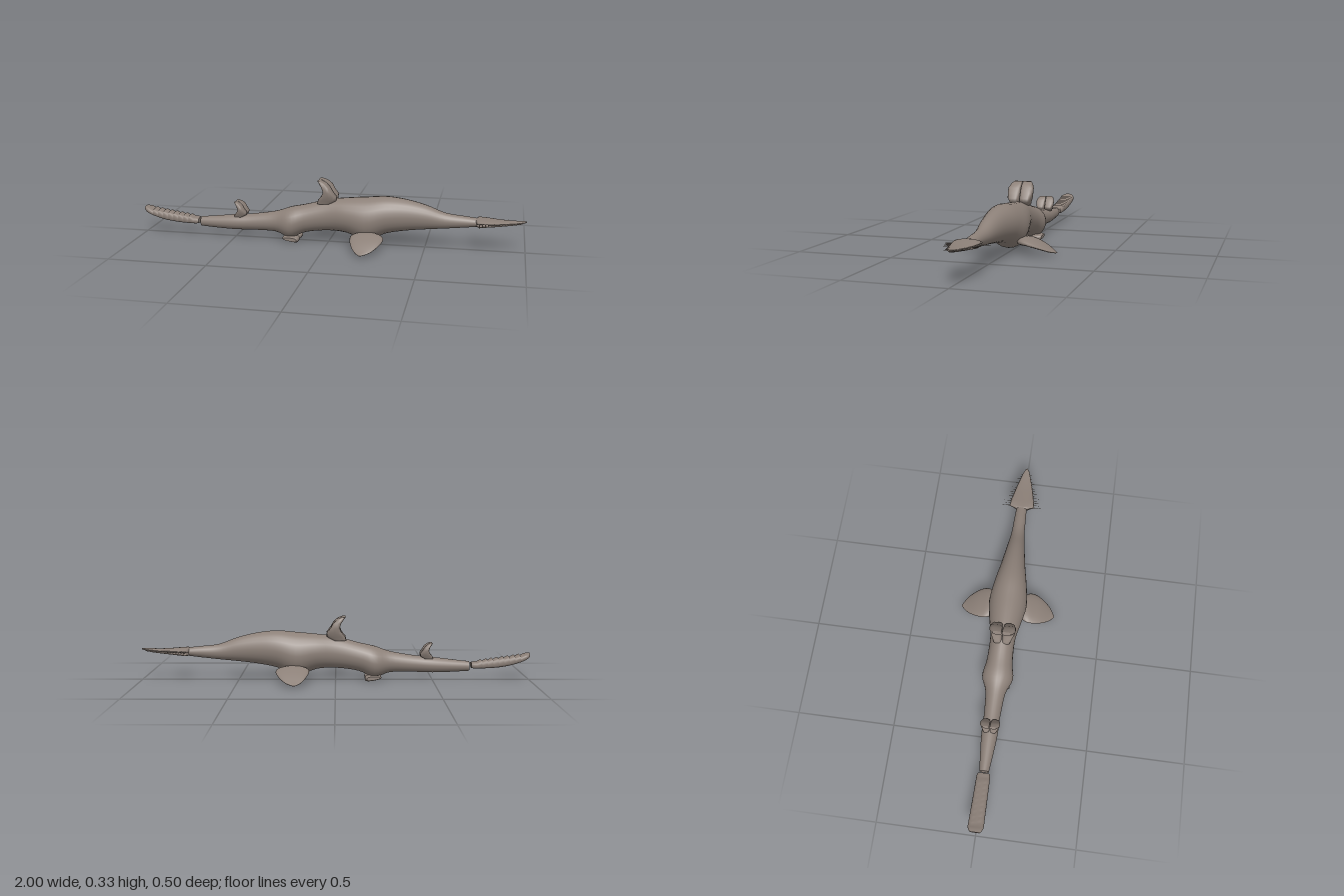
import * as THREE from 'three';

const skin = new THREE.MeshStandardMaterial({ color: 0x8c8078 });
skin.name = 'greyBrownSkin';

// Maps (axis, a, b) to xyz, right-handed for each lofting axis
const AXES = {
  x: (s, a, b) => [s, a, b],
  y: (s, a, b) => [b, s, a],
  z: (s, a, b) => [a, b, s],
};

// Skins capped rings; section = [position, aMin, aMax, bMin, bMax], roundness 1 = ellipse, lower = boxier
function loft(sections, axis, sides = 20, roundness = 1, mirror = 1) {
  const pos = [], idx = [], n = sections.length;
  const curve = (v) => Math.sign(v) * Math.pow(Math.abs(v), roundness);
  const put = (s, a, b) => {
    const p = AXES[axis](s, a, b);
    pos.push(p[0], p[1], p[2] * mirror);
  };
  const tri = (a, b, c) => (mirror > 0 ? idx.push(a, b, c) : idx.push(a, c, b));
  const ring = ([s, a0, a1, b0, b1]) => {
    for (let j = 0; j < sides; j++) {
      const t = (j / sides) * Math.PI * 2;
      put(s, (a0 + a1) / 2 + ((a1 - a0) / 2) * curve(Math.cos(t)),
        (b0 + b1) / 2 + ((b1 - b0) / 2) * curve(Math.sin(t)));
    }
  };
  sections.forEach(ring);
  for (let i = 0; i < n - 1; i++) {
    for (let j = 0; j < sides; j++) {
      const k = (j + 1) % sides, p = i * sides, q = p + sides;
      tri(p + j, p + k, q + k);
      tri(p + j, q + k, q + j);
    }
  }
  // Flat end caps with their own vertices
  for (const end of [0, n - 1]) {
    const base = pos.length / 3, [s, a0, a1, b0, b1] = sections[end];
    ring(sections[end]);
    put(s, (a0 + a1) / 2, (b0 + b1) / 2);
    for (let j = 0; j < sides; j++) {
      const k = (j + 1) % sides;
      if (end) tri(base + sides, base + j, base + k);
      else tri(base + sides, base + k, base + j);
    }
  }
  const g = new THREE.BufferGeometry();
  g.setAttribute('position', new THREE.Float32BufferAttribute(pos, 3));
  g.setIndex(idx);
  g.computeVertexNormals();
  return g;
}

// Adds smooth in-between sections
function smooth(rows, steps = 4) {
  const out = [], at = (i) => rows[Math.max(0, Math.min(rows.length - 1, i))];
  for (let i = 0; i < rows.length - 1; i++) {
    for (let k = 0; k < steps; k++) {
      const t = k / steps;
      out.push(rows[i].map((p1, c) => {
        const p0 = at(i - 1)[c], p2 = at(i + 1)[c], p3 = at(i + 2)[c];
        return p1 + 0.5 * t * (p2 - p0 + t * (2 * p0 - 5 * p1 + 4 * p2 - p3 + t * (3 * (p1 - p2) + p3 - p0)));
      }));
    }
  }
  out.push(rows[rows.length - 1]);
  return out;
}

// [x, bottom, top, half width] to a section symmetric in z
const symmetric = ([x, bottom, top, half]) => [x, bottom, top, -half, half];

export function createModel() {
  const model = new THREE.Group();
  model.name = 'seaCreature';
  const add = (name, geometry, parent = model) => {
    const mesh = new THREE.Mesh(geometry, skin);
    mesh.name = name;
    parent.add(mesh);
    return mesh;
  };

  // Long body with swellings at the hips and shoulders
  const body = [
    [-0.69, 0.05, 0.1, 0.024], [-0.6, 0.045, 0.11, 0.033], [-0.5, 0.042, 0.122, 0.041],
    [-0.4, 0.045, 0.132, 0.042], [-0.28, 0.043, 0.153, 0.052], [-0.2, 0.016, 0.18, 0.08],
    [-0.12, 0.05, 0.198, 0.067], [0, 0.066, 0.23, 0.065], [0.1, 0.06, 0.243, 0.085],
    [0.2, 0.026, 0.252, 0.1], [0.3, 0.068, 0.26, 0.086], [0.4, 0.088, 0.25, 0.066],
    [0.5, 0.1, 0.226, 0.05], [0.6, 0.11, 0.19, 0.036], [0.7, 0.121, 0.178, 0.031],
    [0.755, 0.128, 0.172, 0.028],
  ];
  add('body', loft(smooth(body.map(symmetric)), 'x', 24));

  // Flat jaws of the pointed head
  const head = new THREE.Group();
  head.name = 'head';
  model.add(head);
  add('upperJaw', loft([
    [0.752, 0.142, 0.17, 0.022], [0.765, 0.145, 0.172, 0.066], [0.8, 0.147, 0.17, 0.063],
    [0.85, 0.148, 0.166, 0.052], [0.9, 0.15, 0.164, 0.04], [0.95, 0.153, 0.166, 0.025],
    [0.985, 0.157, 0.168, 0.014], [1, 0.161, 0.168, 0.004],
  ].map(symmetric), 'x', 16), head);
  add('lowerJaw', loft([
    [0.752, 0.13, 0.148, 0.02], [0.77, 0.128, 0.149, 0.052], [0.82, 0.134, 0.149, 0.047],
    [0.88, 0.14, 0.151, 0.035], [0.94, 0.146, 0.155, 0.02], [0.98, 0.152, 0.159, 0.006],
  ].map(symmetric), 'x', 16), head);

  // Bristles along the edges of the jaws
  for (const side of [-1, 1]) {
    for (let i = 0; i < 15; i++) {
      const x = 0.772 + i * 0.014, t = i / 14;
      const length = 0.06 - 0.03 * t - (i % 2) * 0.012;
      const cone = new THREE.ConeGeometry(0.0028, length, 5);
      cone.rotateX(side * Math.PI / 2);
      const bristle = add('bristle', cone, head);
      bristle.position.set(x, 0.15 + 0.008 * t, side * (0.06 - 0.046 * t + length / 2 - 0.006));
    }
  }

  // Paddle tail, turned up at the end, with overlapping ridges on top
  const tail = [[-1, 0.124, 0.145, 0.024], [-0.99, 0.115, 0.143, 0.033]];
  const ridges = 9;
  for (let i = 0; i < ridges; i++) {
    const x = -0.975 + i * 0.028;
    for (const [dx, lift] of [[0, 0.004], [0.022, -0.005]]) {
      const t = (x + dx + 1) / 0.3;
      tail.push([x + dx, 0.064 + 0.055 * Math.pow(1 - t, 3), 0.14 - 0.042 * t + lift, 0.04 - 0.006 * t]);
    }
  }
  tail.push([-0.715, 0.064, 0.098, 0.034], [-0.7, 0.066, 0.094, 0.03]);
  add('tail', loft(tail.map(symmetric), 'x', 20, 0.65));

  // Broad swept-back dorsal fins, each split in two lobes
  const dorsal = [
    // height, back, front, half width
    [-0.015, -0.055, 0.01, 0.045], [0.005, -0.05, 0.045, 0.052], [0.025, -0.032, 0.046, 0.062],
    [0.05, -0.022, 0.026, 0.066], [0.075, -0.03, 0.012, 0.066], [0.095, -0.044, -0.01, 0.056],
    [0.105, -0.052, -0.034, 0.046],
  ];
  const addDorsal = (name, x, y, scale, widthScale) => {
    for (const side of [1, -1]) {
      const rows = dorsal.map(([h, back, front, half]) =>
        [y + h * scale, 0.001, half * widthScale, x + back * scale, x + front * scale]);
      add(name, loft(rows, 'y', 16, 0.6, side));
    }
  };
  addDorsal('frontDorsalFin', 0, 0.227, 1, 1);
  addDorsal('rearDorsalFin', -0.465, 0.126, 0.66, 0.75);

  // Leaf-shaped pectoral fins and small pelvic fins
  const pectoral = [
    // z, back, front, bottom, top
    [0.06, 0.17, 0.25, 0.052, 0.088], [0.085, 0.145, 0.285, 0.05, 0.091],
    [0.11, 0.133, 0.3, 0.05, 0.09], [0.14, 0.134, 0.3, 0.044, 0.079],
    [0.17, 0.142, 0.289, 0.036, 0.066], [0.2, 0.155, 0.27, 0.027, 0.049],
    [0.225, 0.172, 0.248, 0.019, 0.033], [0.242, 0.19, 0.222, 0.015, 0.023],
    [0.25, 0.2, 0.208, 0.015, 0.018],
  ];
  const pelvic = [
    [0.012, -0.22, -0.165, 0.006, 0.03], [0.018, -0.235, -0.15, 0.001, 0.033],
    [0.056, -0.235, -0.15, 0, 0.032], [0.065, -0.228, -0.16, 0.004, 0.026],
  ];
  for (const side of [1, -1]) {
    const word = side > 0 ? 'front' : 'back';
    add(word + 'PectoralFin', loft(smooth(pectoral, 2), 'z', 20, 1, side));
    // Shear the pelvic fin so its front edge hangs lowest
    const g = loft(pelvic, 'z', 16, 0.7, side);
    const p = g.attributes.position;
    for (let i = 0; i < p.count; i++) {
      const k = (p.getX(i) + 0.15) / -0.085;
      p.setY(i, p.getY(i) * (1 - 0.35 * k) + 0.014 * k);
    }
    g.computeVertexNormals();
    add(word + 'PelvicFin', g);
  }
  return model;
}
